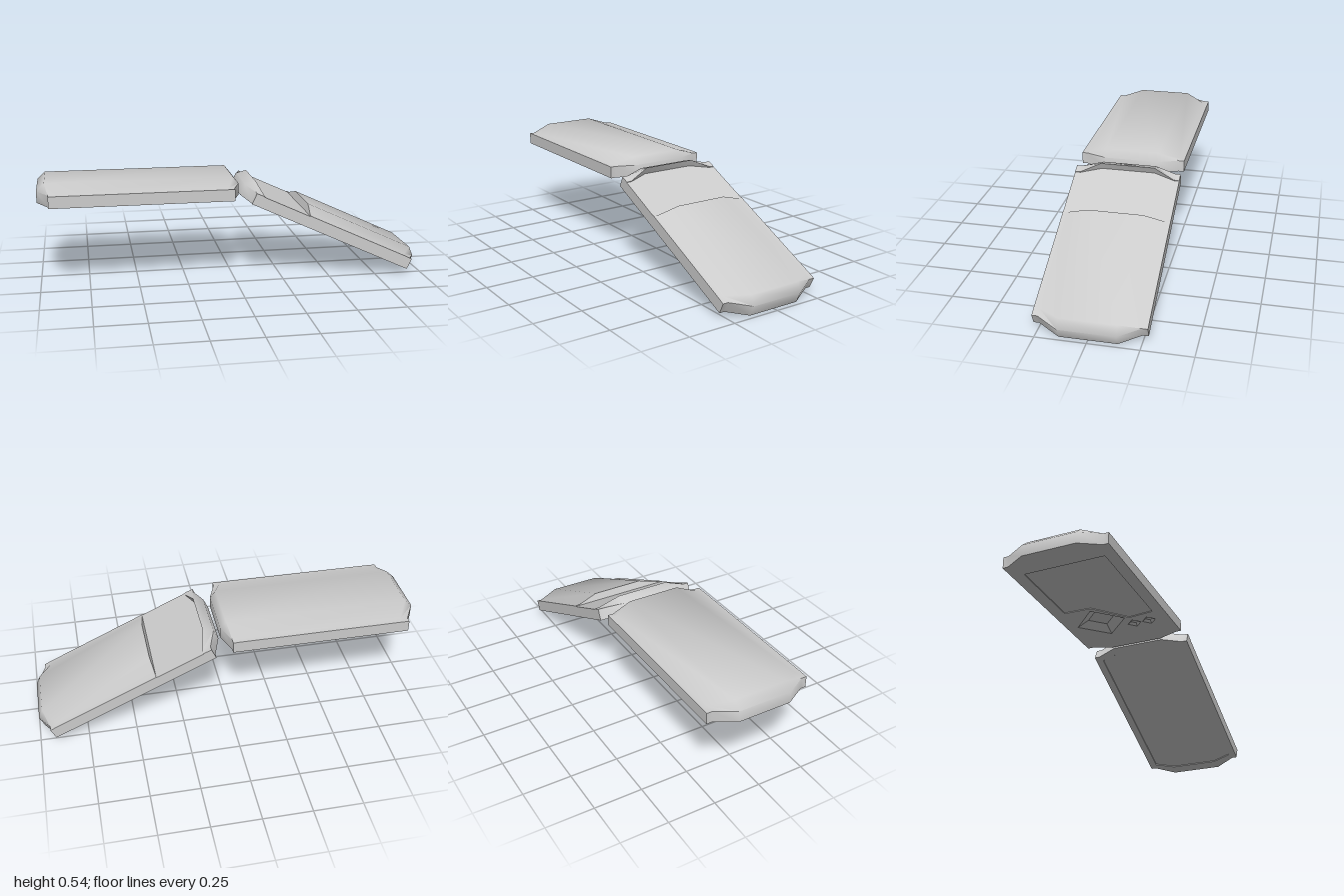
import * as THREE from 'three';
import { mergeVertices, toCreasedNormals } from 'three/addons/utils/BufferGeometryUtils.js';

const L = 1.03, W = 0.275, WALL = 0.06;
const mat = new THREE.MeshStandardMaterial({ color: 0xcccccc });
const thin = new THREE.MeshStandardMaterial({ color: 0xcccccc, side: THREE.DoubleSide });

function mesh(name, geo, material = mat) {
  const m = new THREE.Mesh(geo, material);
  m.name = name;
  return m;
}

function indexed(pos, idx) {
  const g = new THREE.BufferGeometry();
  g.setAttribute('position', new THREE.Float32BufferAttribute(pos, 3));
  g.setIndex(idx);
  return g;
}

// Stations across the width: z, end taper (0..1), top height
const stations = [[0.275, 1, 0.061], [0.247, 1, 0.063], [0.14, 0, 0.097]];
const rows = [...stations.map(([z, k, t]) => [-z, k, t]), ...[...stations].reverse()];

// Lengthwise profile, from the hinge end over the top to the far end
function profile(k, t, hasDeck) {
  const a = 0.04 * k, b = L - 0.06 * k;
  const start = hasDeck
    ? [[a + 0.045, t], [a + 0.045, 0.058], [0.355, 0.058], [0.355, t]]
    : [[a + 0.03, t]];
  return [[a, 0], [a, WALL], ...start, [b - 0.04, t], [b, WALL], [b, 0]];
}

// Top, ends and side walls of one half
function shell(hasDeck) {
  const pos = [], idx = [];
  let n = 0;
  for (const [z, k, t] of rows) {
    const p = profile(k, t, hasDeck);
    n = p.length;
    p.forEach(([x, y]) => pos.push(x, y, z));
  }
  const last = (rows.length - 1) * n;
  for (let i = 0; i < rows.length - 1; i++) {
    for (let j = 0; j < n - 1; j++) {
      const a = i * n + j, b = a + n;
      idx.push(a, b, a + 1, b, b + 1, a + 1);
    }
  }
  for (let j = 1; j < n - 1; j++) {
    idx.push(0, j, j + 1, last, last + j + 1, last + j);
  }
  return toCreasedNormals(mergeVertices(indexed(pos, idx)), 1.0);
}

const toShape = (pts) => new THREE.Shape(pts.map(([x, z]) => new THREE.Vector2(x, z)));
const flat = (shape) => new THREE.ShapeGeometry(shape).rotateX(Math.PI / 2);

// Hollow in the underside: sloping walls and a floor
function recess({ name, pts, depth, taper }) {
  const g = new THREE.Group();
  g.name = name;
  const n = pts.length;
  const cx = pts.reduce((s, p) => s + p[0], 0) / n;
  const cz = pts.reduce((s, p) => s + p[1], 0) / n;
  const inner = pts.map(([x, z]) => [cx + (x - cx) * taper, cz + (z - cz) * taper]);
  const pos = [], idx = [];
  pts.forEach(([x, z], i) => {
    pos.push(x, 0, z, inner[i][0], depth, inner[i][1]);
    const a = 2 * i, b = 2 * ((i + 1) % n);
    idx.push(a, b, a + 1, b, b + 1, a + 1);
  });
  const walls = indexed(pos, idx).toNonIndexed();
  walls.computeVertexNormals();
  const floor = flat(toShape(inner));
  floor.translate(0, depth, 0);
  g.add(mesh(name + 'Walls', walls, thin), mesh(name + 'Floor', floor));
  return g;
}

const diamond = (x, z, r) => [[x + r, z], [x, z + r], [x - r, z], [x, z - r]];

function half(name, hasDeck, hollows) {
  const g = new THREE.Group();
  g.name = name;
  g.add(mesh(name + 'Shell', shell(hasDeck)));
  // Underside plate with openings
  const near = [[0.04, -W], [0.04, -0.247], [0, -0.14], [0, 0.14], [0.04, 0.247], [0.04, W]];
  const far = [[L - 0.06, W], [L - 0.06, 0.247], [L, 0.14], [L, -0.14], [L - 0.06, -0.247], [L - 0.06, -W]];
  const plate = toShape([...near, ...far]);
  hollows.forEach((h) => {
    plate.holes.push(toShape(h.pts));
    g.add(recess(h));
  });
  g.add(mesh(name + 'Underside', flat(plate)));
  return g;
}

export function createModel() {
  const model = new THREE.Group();
  model.name = 'foldingHandset';

  // Level half: back cover panel, lens well and two small wells underneath
  const level = half('levelHalf', false, [
    {
      name: 'coverPanel', depth: 0.004, taper: 0.995,
      pts: [[0.3, -0.215], [0.285, -0.08], [0.45, 0.065], [0.455, 0.21], [0.88, 0.21], [0.88, -0.215]],
    },
    { name: 'lensWell', depth: 0.03, taper: 0.55, pts: diamond(0.29, 0.08, 0.135) },
    { name: 'smallWellA', depth: 0.012, taper: 0.55, pts: diamond(0.218, -0.163, 0.037) },
    { name: 'smallWellB', depth: 0.012, taper: 0.55, pts: diamond(0.218, -0.081, 0.037) },
  ]);
  level.rotation.y = Math.PI;
  level.position.set(0.03, 0.44, 0);

  // Tilted half: stepped deck on top, large flat panel underneath
  const tilted = half('tiltedHalf', true, [
    {
      name: 'displayPanel', depth: 0.004, taper: 0.995,
      pts: [[0.07, -0.235], [0.04, -0.13], [0.04, 0.13], [0.07, 0.235],
        [0.94, 0.235], [0.98, 0.13], [0.98, -0.13], [0.94, -0.235]],
    },
  ]);
  tilted.rotation.z = -THREE.MathUtils.degToRad(25);
  tilted.position.set(0.04, 0.437, 0);

  model.add(level, tilted);
  return model;
}
